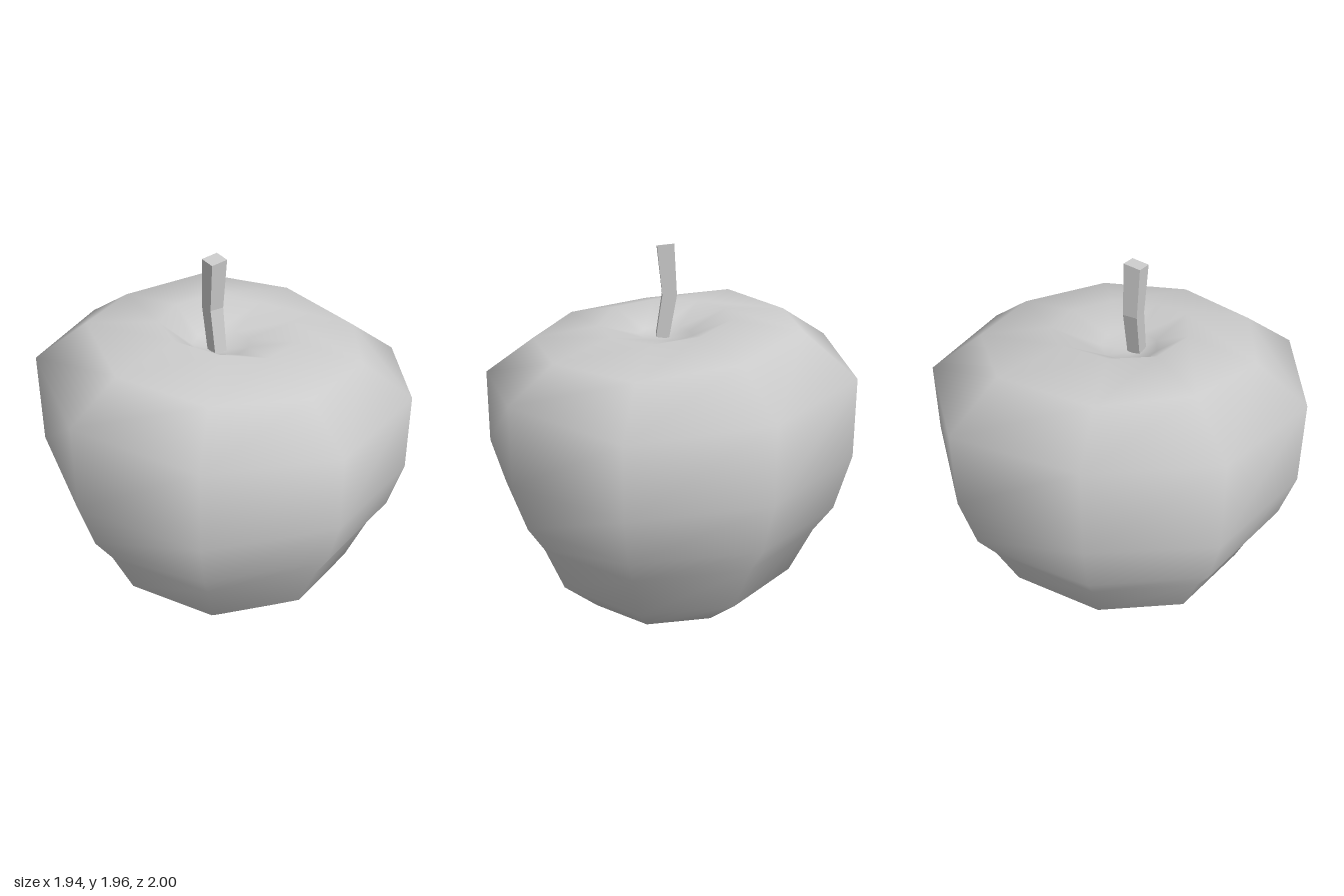
import * as THREE from 'three';
import { mergeVertices } from 'three/addons/utils/BufferGeometryUtils.js';

// Nine-sided irregular outline seen from above, as [x, z]
const OUTLINE = [
  [0.97, 0.04], [0.72, 0.68], [0.1, 1.0], [-0.58, 0.86], [-0.95, 0.32],
  [-0.97, -0.4], [-0.48, -0.91], [0.22, -1.0], [0.77, -0.6],
];

// Rings from bottom to the pit under the stem: outline scale, height(s), centre offset
const RINGS = [
  { s: 0, y: 0 },
  { s: 0.5, y: 0 },
  { s: 0.715, y: 0.2 },
  { s: 0.83, y: 0.47 },
  { s: 0.925, y: 0.62 },
  { s: 1, y: [0.88, 0.88, 0.88, 0.9, 0.92, 0.93, 0.9, 0.88, 0.88] },
  { s: 0.993, y: [1.28, 1.31, 1.35, 1.4, 1.4, 1.35, 1.3, 1.25, 1.3] },
  { s: 0.72, y: [1.47, 1.5, 1.53, 1.6, 1.57, 1.57, 1.51, 1.45, 1.46] },
  { s: 0.36, y: [1.535, 1.585, 1.6, 1.6, 1.6, 1.6, 1.56, 1.53, 1.53] },
  { s: 0.15, y: 1.48, dx: -0.01, dz: 0.05 },
  { s: 0, y: 1.45, dx: -0.01, dz: 0.08 },
];

// Smooth skin joining the rings
function fruitGeometry() {
  const n = OUTLINE.length, positions = [], index = [];
  for (const { s, y, dx = 0, dz = 0 } of RINGS) {
    OUTLINE.forEach(([x, z], k) => positions.push(x * s + dx, Array.isArray(y) ? y[k] : y, z * s + dz));
  }
  for (let i = 0; i < RINGS.length - 1; i++) {
    for (let k = 0; k < n; k++) {
      const a = i * n + k, b = i * n + (k + 1) % n, c = a + n, d = b + n;
      if (RINGS[i].s > 0) index.push(a, c, b);
      if (RINGS[i + 1].s > 0) index.push(b, c, d);
    }
  }
  const geometry = new THREE.BufferGeometry();
  geometry.setAttribute('position', new THREE.Float32BufferAttribute(positions, 3));
  geometry.setIndex(index);
  const welded = mergeVertices(geometry);
  welded.computeVertexNormals();
  return welded;
}

// Square stalk with one bend and a slanted tip
function stemGeometry() {
  const sections = [
    { y: 1.4, x: 0.01, w: 0.07 },
    { y: 1.69, x: -0.037, w: 0.078 },
    { y: 1.952, x: -0.015, w: 0.09 },
  ];
  const geometry = new THREE.BoxGeometry(1, 2, 1, 1, 2, 1);
  const p = geometry.attributes.position;
  for (let i = 0; i < p.count; i++) {
    const level = Math.round(p.getY(i)) + 1;
    const { y, x, w } = sections[level];
    const px = p.getX(i) * w, pz = p.getZ(i) * w;
    p.setXYZ(i, x + px, y - (level === 2 ? 0.1 * px + 0.15 * pz : 0), 0.085 + pz);
  }
  return geometry;
}

export function createModel() {
  const group = new THREE.Group();
  group.name = 'apple';

  const fruit = new THREE.Mesh(fruitGeometry(), new THREE.MeshStandardMaterial({ color: 0xcccccc }));
  fruit.name = 'fruit';

  const stem = new THREE.Mesh(stemGeometry(), new THREE.MeshStandardMaterial({ color: 0xcccccc, flatShading: true }));
  stem.name = 'stem';

  group.add(fruit, stem);
  return group;
}
